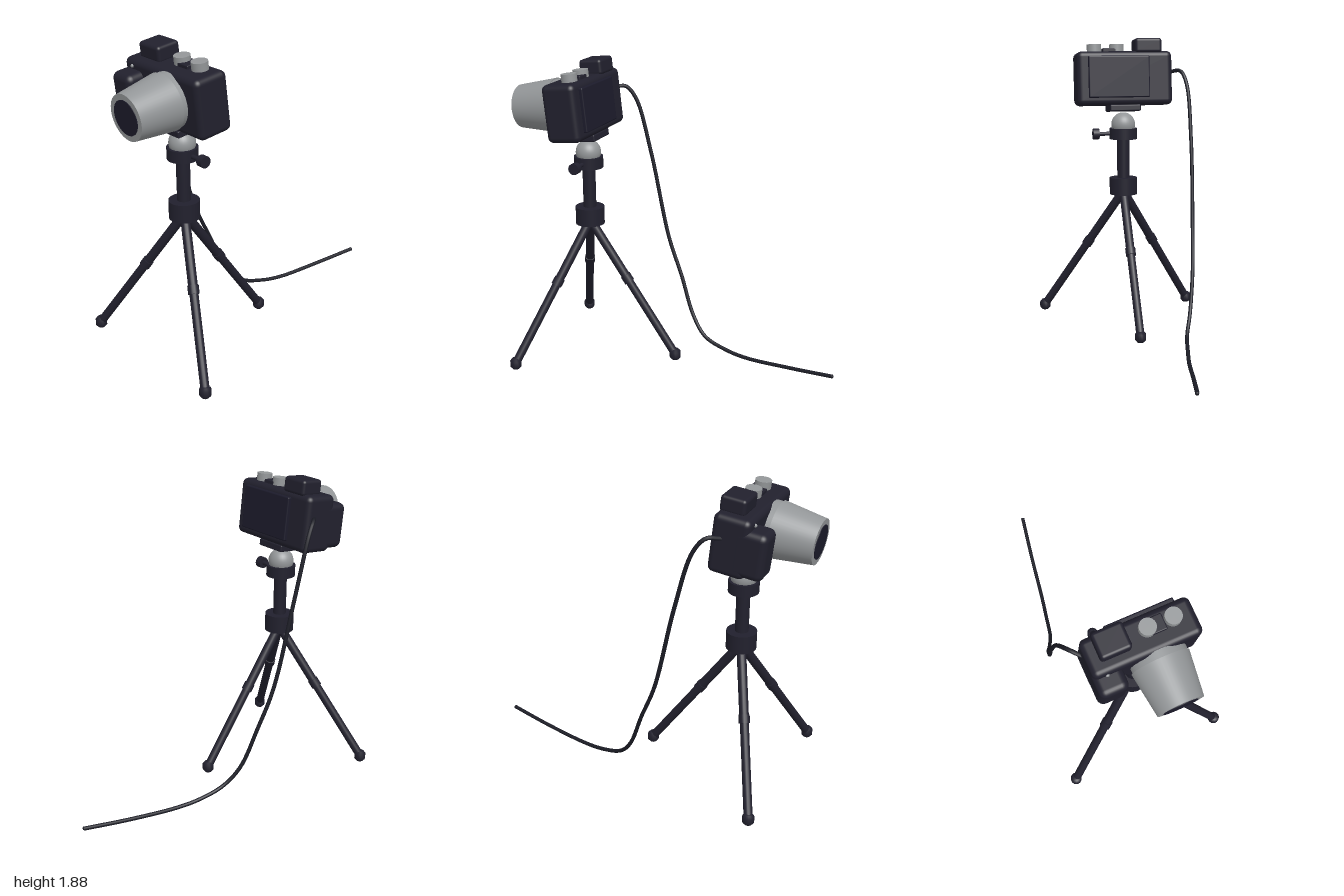
import * as THREE from 'three';
import { RoundedBoxGeometry } from 'three/addons/geometries/RoundedBoxGeometry.js';

const mat = (name, color) => {
  const m = new THREE.MeshStandardMaterial({ color });
  m.name = name;
  return m;
};

export function createModel() {
  const model = new THREE.Group();
  model.name = 'cameraOnTripod';
  const dark = mat('dark body', 0x21202d);
  const metal = mat('grey metal', 0x939698);
  const glass = mat('dark glass', 0x1c1b2b);
  const cableMat = mat('cable black', 0x1b1c25);

  const add = (parent, name, geo, material, x = 0, y = 0, z = 0) => {
    const mesh = new THREE.Mesh(geo, material);
    mesh.name = name;
    mesh.position.set(x, y, z);
    parent.add(mesh);
    return mesh;
  };
  const cyl = (rTop, rBottom, h, n = 32) => new THREE.CylinderGeometry(rTop, rBottom, h, n);
  const box = (w, h, d, r) => new RoundedBoxGeometry(w, h, d, 4, r);
  const UP = new THREE.Vector3(0, 1, 0);

  // Tripod, built around its own vertical axis
  const tripod = new THREE.Group();
  tripod.name = 'tripod';
  tripod.position.z = 0.575;
  model.add(tripod);
  add(tripod, 'legCollar', cyl(0.09, 0.09, 0.11), dark, 0, 0.925, 0);
  add(tripod, 'centreColumn', cyl(0.04, 0.04, 0.3), dark, 0, 1.11, 0);
  add(tripod, 'headCollar', cyl(0.09, 0.09, 0.07), dark, 0, 1.27, 0);
  add(tripod, 'ballJoint', new THREE.SphereGeometry(0.078, 32, 20), metal, 0, 1.33, 0);
  add(tripod, 'knobStem', cyl(0.013, 0.013, 0.1, 12), dark, 0.125, 1.27, 0).rotation.z = Math.PI / 2;
  add(tripod, 'knobHead', cyl(0.035, 0.035, 0.04, 16), dark, 0.18, 1.27, 0).rotation.z = Math.PI / 2;

  // Three legs, each a thick and a thin section with a joint and a rubber foot
  const strut = (name, a, b, r) => {
    const mesh = add(tripod, name, cyl(r, r, a.distanceTo(b), 16), dark);
    mesh.position.copy(a).add(b).multiplyScalar(0.5);
    mesh.quaternion.setFromUnitVectors(UP, a.clone().sub(b).normalize());
  };
  for (let i = 0; i < 3; i++) {
    const angle = Math.PI + (i * Math.PI * 2) / 3;
    const top = new THREE.Vector3(0, 0.89, 0);
    const foot = new THREE.Vector3(Math.sin(angle) * 0.577, 0.065, Math.cos(angle) * 0.577);
    const at = (t) => top.clone().lerp(foot, t);
    strut('upperLeg', top, at(0.43), 0.028);
    strut('legJoint', at(0.41), at(0.46), 0.033);
    strut('lowerLeg', at(0.43), foot, 0.026);
    const lathe = new THREE.LatheGeometry(
      [[0, -0.034], [0.022, -0.034], [0.035, -0.018], [0.035, 0.018], [0.022, 0.034], [0, 0.034]]
        .map(([x, y]) => new THREE.Vector2(x, y)), 16);
    add(tripod, 'foot', lathe, dark, foot.x, foot.y, foot.z);
  }

  // Camera, tipped slightly forward
  const camera = new THREE.Group();
  camera.name = 'camera';
  camera.position.set(0, 1.625, 0.595);
  camera.rotation.x = 0.105;
  model.add(camera);
  add(camera, 'body', box(0.62, 0.345, 0.217, 0.035), dark);
  add(camera, 'handGrip', box(0.165, 0.275, 0.2, 0.04), dark, -0.228, -0.019, 0.11);
  add(camera, 'viewfinder', box(0.175, 0.095, 0.15, 0.02), dark, -0.158, 0.208, -0.03);
  add(camera, 'hotShoe', box(0.1, 0.03, 0.09, 0.006), dark, 0.088, 0.178, -0.026);
  add(camera, 'mountPlate', box(0.2, 0.042, 0.2, 0.008), dark, 0, -0.19, 0.005);
  add(camera, 'rearScreen', box(0.395, 0.265, 0.03, 0.008), glass, 0.042, 0.008, -0.116);
  for (const x of [0.042, 0.187]) {
    add(camera, 'dial', cyl(0.047, 0.047, 0.055, 24), metal, x, 0.192, -0.026);
  }
  add(camera, 'frontButton', new THREE.SphereGeometry(0.011, 12, 8), metal, -0.235, 0.135, 0.108);

  // Lens, its axis pointing forward
  const lens = new THREE.Group();
  lens.name = 'lens';
  lens.position.set(0.0615, 0.01, 0);
  lens.rotation.x = Math.PI / 2;
  camera.add(lens);
  add(lens, 'lensMount', cyl(0.158, 0.158, 0.05, 48), metal, 0, 0.12, 0);
  add(lens, 'lensBarrel', cyl(0.132, 0.165, 0.252, 48), metal, 0, 0.265, 0);
  add(lens, 'frontGlass', cyl(0.099, 0.099, 0.006, 48), glass, 0, 0.392, 0);

  // Cable falling from the camera's side and trailing behind
  const path = new THREE.CatmullRomCurve3([
    [-0.29, 1.665, 0.565], [-0.315, 1.672, 0.54], [-0.36, 1.678, 0.49], [-0.388, 1.6, 0.43],
    [-0.396, 1.25, 0.33], [-0.378, 0.7, 0.2], [-0.355, 0.45, 0.1], [-0.315, 0.2, 0],
    [-0.272, 0.085, -0.1], [-0.24, 0.034, -0.25], [-0.21, 0.017, -0.4],
    [-0.16, 0.03, -0.7], [-0.105, 0.055, -0.998],
  ].map((p) => new THREE.Vector3(...p)));
  add(model, 'cable', new THREE.TubeGeometry(path, 120, 0.012, 10), cableMat);
  const end = path.getPoint(1);
  add(model, 'cableEnd', new THREE.SphereGeometry(0.0115, 10, 8), cableMat, end.x, end.y, end.z + 0.008);

  return model;
}
